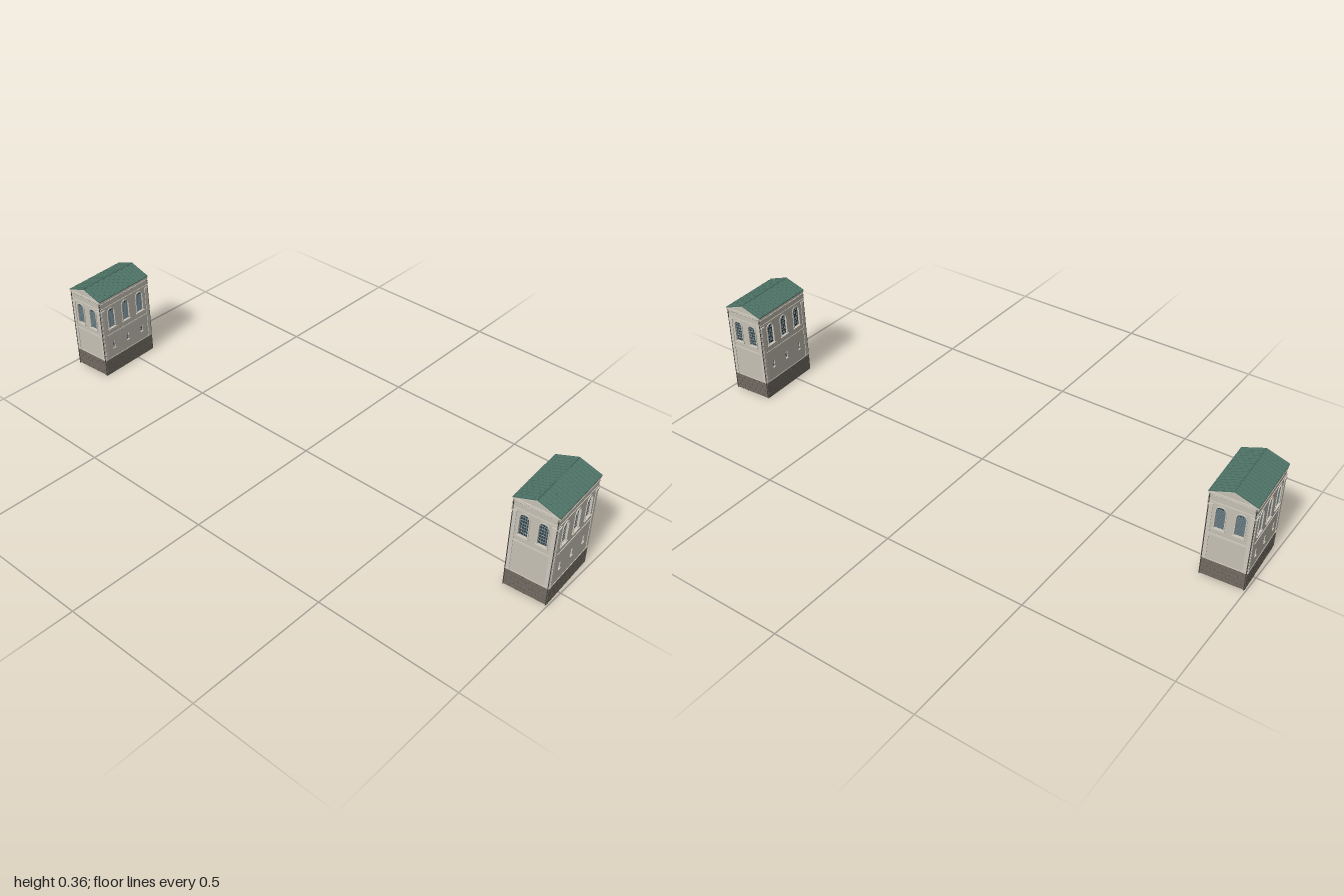
import * as THREE from 'three';

const mat = (color, side = THREE.FrontSide) => new THREE.MeshStandardMaterial({ color, side, flatShading: true });
const WALL = mat(0xc6c1b5), TRIM = mat(0xcfcabf), BASE = mat(0x736c62), JOINT = mat(0x5c564e);
const ROOF = mat(0x52776a), SEAM = mat(0x466a5d), GLASS = mat(0x34464e, THREE.DoubleSide);
const BAR = mat(0x9aa6a6), SLAT = mat(0x586a70), PIPE = mat(0x4b4843);

const W = 0.146, L = 0.233, BASE_H = 0.063;   // wall footprint and plinth height
const RW = 0.1525, RL = 0.2405;               // roof footprint

function add(parent, name, geo, material, x = 0, y = 0, z = 0) {
  const m = new THREE.Mesh(geo, material);
  m.name = name;
  m.position.set(x, y, z);
  parent.add(m);
  return m;
}
const box = (p, name, material, w, h, d, x, y, z) => add(p, name, new THREE.BoxGeometry(w, h, d), material, x, y, z);
const extrude = (shape, depth) => new THREE.ExtrudeGeometry(shape, { depth, bevelEnabled: false, curveSegments: 8 });

// Outline of a round-headed opening: centre x, sill y, width, total height
function arch(x, y, w, h, Type = THREE.Shape) {
  const s = new Type(), r = w / 2;
  s.moveTo(x - r, y);
  s.lineTo(x + r, y);
  s.lineTo(x + r, y + h - r);
  s.absarc(x, y + h - r, r, 0, Math.PI, false);
  s.closePath();
  return s;
}
function rect(x, y, w, h, Type = THREE.Shape) {
  const s = new Type();
  s.moveTo(x - w / 2, y);
  s.lineTo(x + w / 2, y);
  s.lineTo(x + w / 2, y + h);
  s.lineTo(x - w / 2, y + h);
  s.closePath();
  return s;
}

// Arched window with glazing bars, or louvres below a barred head
function archedWindow(face, x, y, louvred) {
  const g = new THREE.Group();
  g.name = 'archedWindow';
  g.position.set(x, y, 0);
  face.add(g);
  const w = 0.03, h = 0.08, r = w / 2, spring = h - r;
  add(g, 'glass', new THREE.ShapeGeometry(arch(0, 0, w, h), 8), GLASS, 0, 0, -0.005);
  const ring = arch(0, 0, w + 0.006, h + 0.003);
  ring.holes.push(arch(0, 0.0001, w, h - 0.0001, THREE.Path));
  add(g, 'windowSurround', extrude(ring, 0.0025), TRIM);
  box(g, 'windowSill', TRIM, w + 0.01, 0.004, 0.006, 0, -0.002, 0.002);
  const headRoom = (px) => spring + Math.sqrt(Math.max(0, r * r - px * px));
  for (const px of [-r / 2, 0, r / 2]) {
    const from = louvred ? spring : 0, top = headRoom(px);
    box(g, 'verticalBar', BAR, 0.001, top - from, 0.001, px, (top + from) / 2, -0.004);
  }
  const n = louvred ? 13 : 6;
  for (let i = 1; i <= n; i++) {
    const slat = box(g, louvred ? 'louvre' : 'crossBar', louvred ? SLAT : BAR,
      w, 0.001, louvred ? 0.004 : 0.001, 0, i * spring / n, louvred ? -0.003 : -0.004);
    if (louvred) slat.rotation.x = 0.6;
  }
  const high = spring + r * 0.55;
  box(g, 'headBar', BAR, r * 1.6, 0.001, 0.001, 0, high, -0.004);
}

// Small rectangular two-pane window
function smallWindow(face, x, y) {
  const g = new THREE.Group();
  g.name = 'smallWindow';
  g.position.set(x, y, 0);
  face.add(g);
  add(g, 'glass', new THREE.ShapeGeometry(rect(0, 0, 0.01, 0.026)), GLASS, 0, 0, -0.004);
  box(g, 'verticalBar', BAR, 0.001, 0.026, 0.001, 0, 0.013, -0.003);
  for (const py of [0.009, 0.018]) box(g, 'crossBar', BAR, 0.01, 0.001, 0.001, 0, py, -0.003);
  box(g, 'windowSill', TRIM, 0.013, 0.0015, 0.003, 0, -0.0008, 0.0015);
}

// One elevation, facing +z, with its origin on the ground
function elevation(name, width, xs, d, louvred, withSmall) {
  const f = new THREE.Group();
  f.name = name;
  const sill = 0.208 + d, low = 0.111 + d / 2, top = 0.324 + d;
  const wall = rect(0, BASE_H, width, top - BASE_H);
  for (const x of xs) {
    wall.holes.push(arch(x, sill, 0.03, 0.08, THREE.Path));
    if (withSmall) wall.holes.push(rect(x, low, 0.01, 0.026, THREE.Path));
  }
  add(f, 'wall', extrude(wall, 0.006), WALL, 0, 0, -0.006);
  for (const x of xs) {
    archedWindow(f, x, sill, louvred);
    if (withSmall) smallWindow(f, x, low);
  }
  // Horizontal mouldings
  box(f, 'stringCourse', TRIM, width - 0.03, 0.006, 0.002, 0, 0.182 + d, 0.001);
  box(f, 'architrave', TRIM, width + 0.003, 0.004, 0.003, 0, 0.299 + d, 0.0005);
  box(f, 'plinthMoulding', TRIM, width + 0.002, 0.003, 0.002, 0, BASE_H + 0.0015, 0.0005);
  const n = Math.round(width / 0.006);
  for (let i = 0; i < n; i++)
    box(f, 'dentil', TRIM, 0.003, 0.003, 0.003, ((i + 0.5) / n - 0.5) * width, 0.321 + d, 0.001);
  // Corner pilasters with base and capital
  for (const s of [-1, 1]) {
    const x = s * (width / 2 - 0.009);
    box(f, 'pilaster', TRIM, 0.012, 0.22 + d, 0.002, x, BASE_H + (0.22 + d) / 2, 0.001);
    box(f, 'pilasterBase', TRIM, 0.015, 0.005, 0.004, x, BASE_H + 0.0045, 0.001);
    box(f, 'pilasterNeck', TRIM, 0.014, 0.004, 0.004, x, 0.284 + d, 0.001);
    box(f, 'pilasterCapital', TRIM, 0.017, 0.005, 0.006, x, 0.2895 + d, 0.001);
  }
  // Stone joints in the plinth
  for (let row = 0; row < 4; row++) {
    const y = row * 0.0155;
    if (row) box(f, 'bedJoint', JOINT, width, 0.0006, 0.0006, 0, y, 0.0005);
    for (let x = -width / 2 + (row % 2 ? 0.012 : 0.024); x < width / 2 - 0.004; x += 0.024)
      box(f, 'uprightJoint', JOINT, 0.0006, 0.0155, 0.0006, x, y + 0.00775, 0.0005);
  }
  return f;
}

// Inverted V strip following the roof slope
function chevron(half, eave, ridge, t) {
  const s = new THREE.Shape();
  s.moveTo(-half, eave - t);
  s.lineTo(0, ridge - t);
  s.lineTo(half, eave - t);
  s.lineTo(half, eave);
  s.lineTo(0, ridge);
  s.lineTo(-half, eave);
  s.closePath();
  return s;
}

function roof(d) {
  const g = new THREE.Group();
  g.name = 'roof';
  const eave = 0.335 + d, ridge = 0.362 + d, half = RW / 2;
  add(g, 'roofCovering', extrude(chevron(half, eave, ridge, 0.003), RL), ROOF, 0, 0, -RL / 2);
  const gable = new THREE.Shape();
  gable.moveTo(-W / 2, eave - 0.004);
  gable.lineTo(W / 2, eave - 0.004);
  gable.lineTo(0, ridge - 0.003);
  gable.closePath();
  for (const s of [-1, 1]) {
    add(g, 'pediment', extrude(gable, 0.004), WALL, 0, 0, s * (L / 2 - 0.002) - 0.002);
    add(g, 'rakingCornice', extrude(chevron(half - 0.0005, eave - 0.003, ridge - 0.003, 0.004), 0.004),
      TRIM, 0, 0, s * (RL / 2 - 0.0025) - 0.002);
  }
  // Seams and staggered sheet edges on both slopes
  const slope = Math.atan2(ridge - eave, half), len = Math.hypot(half, ridge - eave);
  for (const s of [-1, 1]) {
    const side = new THREE.Group();
    side.name = 'roofSeams';
    side.position.y = ridge;
    side.rotation.set(0, s < 0 ? Math.PI : 0, -s * slope, 'ZYX');
    g.add(side);
    const n = 16;
    for (let i = 0; i <= n; i++) {
      const z = (i / n - 0.5) * (RL - 0.001);
      box(side, 'seam', SEAM, len, 0.001, 0.0008, len / 2, 0.0003, z);
      if (i < n) for (let k = 0; k < 4; k++)
        box(side, 'sheetEdge', SEAM, 0.0007, 0.0007, RL / n, len * (k + (i % 2 ? 0.25 : 0.75)) / 4, 0.0002, z + RL / n / 2);
    }
  }
  box(g, 'ridgeCap', SEAM, 0.003, 0.0015, RL, 0, ridge, 0);
  // Stepped cornice under the eaves
  box(g, 'cornice', TRIM, RW - 0.001, 0.004, RL - 0.001, 0, 0.330 + d, 0);
  box(g, 'corniceStep', TRIM, W + 0.004, 0.004, L + 0.004, 0, 0.326 + d, 0);
  return g;
}

function tower(name, d, louvred) {
  const g = new THREE.Group();
  g.name = name;
  box(g, 'plinth', BASE, W, BASE_H, L, 0, BASE_H / 2, 0);
  for (const s of [-1, 1]) {
    const end = elevation(s > 0 ? 'frontElevation' : 'backElevation', W, [-0.031, 0.031], d, louvred, false);
    end.position.z = s * L / 2;
    end.rotation.y = s > 0 ? 0 : Math.PI;
    const flank = elevation(s > 0 ? 'leftElevation' : 'rightElevation', L, [-0.07, 0, 0.07], d, louvred, true);
    flank.position.x = s * W / 2;
    flank.rotation.y = s * Math.PI / 2;
    g.add(end, flank);
    // Rainwater pipes with hopper heads on the end walls
    for (const t of [-1, 1]) {
      const h = 0.325 + d, x = t * (W / 2 - 0.002), z = s * (L / 2 + 0.002);
      add(g, 'downpipe', new THREE.CylinderGeometry(0.0015, 0.0015, h, 8), PIPE, x, h / 2, z);
      add(g, 'hopper', new THREE.CylinderGeometry(0.003, 0.0015, 0.006, 8), PIPE, x, 0.312 + d, z);
    }
  }
  g.add(roof(d));
  return g;
}

export function createModel() {
  const model = new THREE.Group();
  model.name = 'towerPair';
  const glazed = tower('glazedTower', 0, false);
  glazed.position.set(0.9155, 0, -0.043);
  const louvred = tower('louvredTower', -0.021, true);
  louvred.position.set(-0.9155, 0, 0.044);
  for (const t of [glazed, louvred]) t.rotation.y = 0.06;
  model.add(glazed, louvred);
  return model;
}
